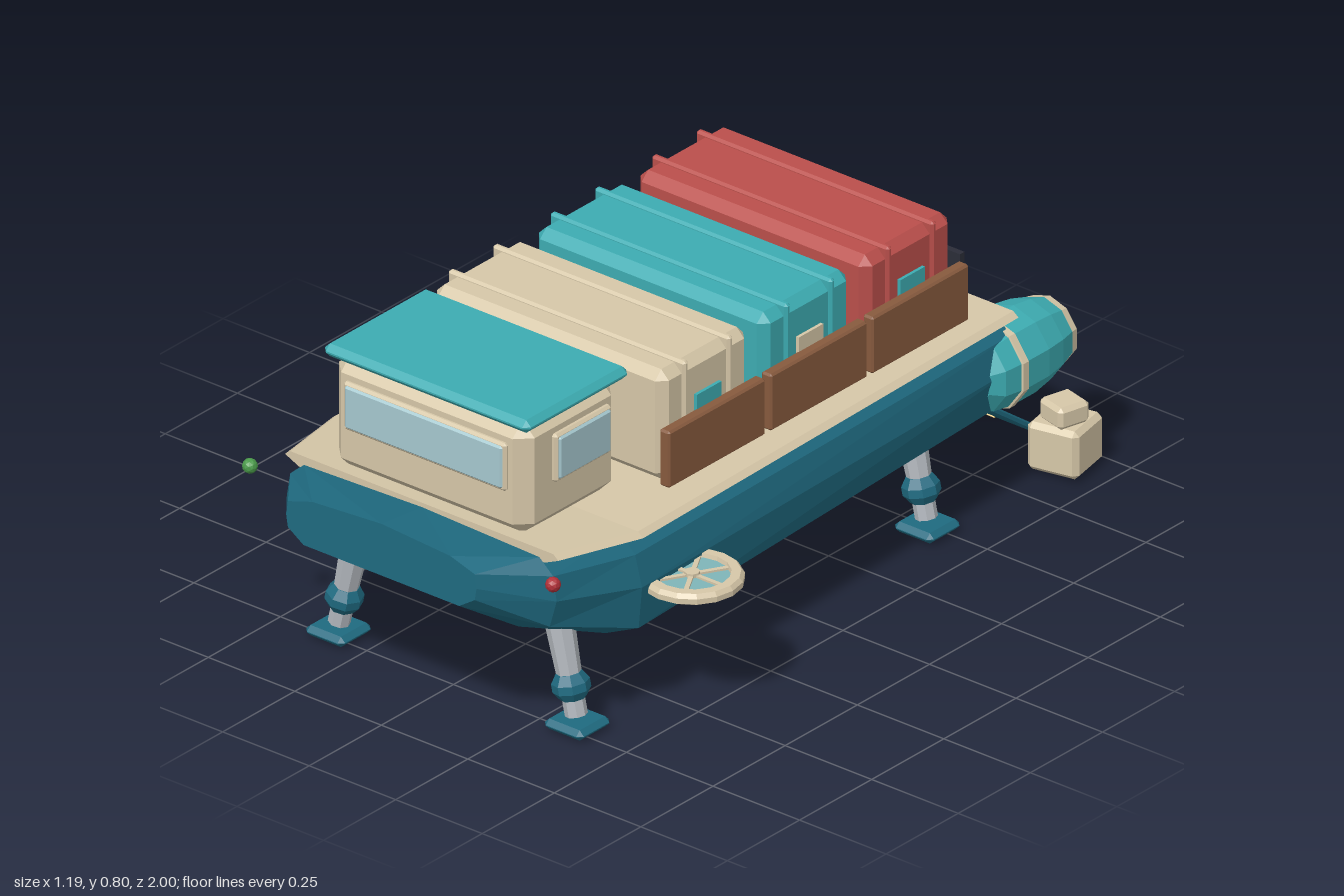
import * as THREE from 'three';
import { ConvexGeometry } from 'three/addons/geometries/ConvexGeometry.js';

const mat = (color) => new THREE.MeshStandardMaterial({ color, flatShading: true });
const M = {
  hull: mat(0x1f6a80), teal: mat(0x3dacb2), cream: mat(0xd6c7a8), red: mat(0xba4f4b),
  brown: mat(0x875a3e), dark: mat(0x2b2d38), glass: mat(0xa6c8cf), metal: mat(0xb4b9bf),
  yellow: mat(0xf0c26a), green: mat(0x4a9a4a), lightRed: mat(0xb03038), rotorGlass: mat(0x7fb5b8),
};

function add(parent, name, geometry, material, x = 0, y = 0, z = 0) {
  const mesh = new THREE.Mesh(geometry, material);
  mesh.name = name;
  mesh.position.set(x, y, z);
  parent.add(mesh);
  return mesh;
}

function group(parent, name) {
  const g = new THREE.Group();
  g.name = name;
  parent.add(g);
  return g;
}

// Box with every edge and corner cut flat
function chamferBox(w, h, d, c) {
  const pts = [];
  for (const sx of [-1, 1]) for (const sy of [-1, 1]) for (const sz of [-1, 1]) {
    for (const k of [0, 1, 2]) {
      pts.push(new THREE.Vector3(
        sx * (w / 2 - (k === 0 ? 0 : c)),
        sy * (h / 2 - (k === 1 ? 0 : c)),
        sz * (d / 2 - (k === 2 ? 0 : c))));
    }
  }
  return new ConvexGeometry(pts);
}

// Skin through mirrored half profiles, listed bow to stern, each running bottom to top
function loft(sections) {
  const loops = sections.map(([z, half]) => {
    const mirrored = half.slice(1, -1).reverse().map(([x, y]) => [-x, y]);
    return [...half, ...mirrored].map(([x, y]) => [x, y, z]);
  });
  const pos = [];
  const tri = (...p) => p.forEach((v) => pos.push(...v));
  const n = loops[0].length;
  for (let s = 0; s < loops.length - 1; s++) {
    for (let i = 0; i < n; i++) {
      const j = (i + 1) % n;
      tri(loops[s][i], loops[s + 1][i], loops[s + 1][j]);
      tri(loops[s][i], loops[s + 1][j], loops[s][j]);
    }
  }
  const front = loops[0], back = loops[loops.length - 1];
  for (let i = 1; i < n - 1; i++) {
    tri(front[0], front[i], front[i + 1]);
    tri(back[0], back[i + 1], back[i]);
  }
  const g = new THREE.BufferGeometry();
  g.setAttribute('position', new THREE.Float32BufferAttribute(pos, 3));
  g.computeVertexNormals();
  return g;
}

function buildHull(root) {
  add(root, 'hull', loft([
    [1.0, [[0, 0.38], [0.225, 0.38], [0.27, 0.41], [0.275, 0.44], [0.27, 0.475], [0.2, 0.497], [0, 0.51]]],
    [0.86, [[0, 0.29], [0.28, 0.29], [0.37, 0.32], [0.39, 0.39], [0.38, 0.45], [0.34, 0.485], [0, 0.495]]],
    [0.63, [[0, 0.2], [0.34, 0.2], [0.435, 0.245], [0.445, 0.35], [0.425, 0.425], [0.38, 0.47], [0, 0.475]]],
    [-0.7, [[0, 0.22], [0.31, 0.22], [0.395, 0.26], [0.415, 0.35], [0.4, 0.425], [0.36, 0.465], [0, 0.47]]],
  ]), M.hull);
  const deckSection = (z, w, y) => [z, [[0, y - 0.03], [w - 0.04, y - 0.03], [w, y - 0.012], [w - 0.015, y], [0, y]]];
  add(root, 'deck', loft([
    deckSection(0.86, 0.395, 0.506), deckSection(0.63, 0.448, 0.487), deckSection(-0.71, 0.415, 0.483),
  ]), M.cream);
  add(root, 'sternDoorway', new THREE.BoxGeometry(0.51, 0.36, 0.016), M.dark, 0, 0.4, -0.707);
  add(root, 'sternStrip', new THREE.BoxGeometry(0.26, 0.018, 0.012), M.cream, -0.07, 0.475, -0.712);
}

function buildCabin(root) {
  const g = group(root, 'cabin');
  add(g, 'cabinBody', chamferBox(0.565, 0.285, 0.335, 0.035), M.cream, 0, 0.635, 0.675);
  add(g, 'roof', chamferBox(0.595, 0.032, 0.36, 0.014), M.teal, 0, 0.785, 0.672);
  add(g, 'windshieldFrame', chamferBox(0.47, 0.12, 0.03, 0.006), M.cream, 0, 0.668, 0.838);
  add(g, 'windshield', chamferBox(0.455, 0.106, 0.03, 0.005), M.glass, 0, 0.668, 0.843);
  for (const s of [-1, 1]) {
    add(g, 'sideWindowFrame', chamferBox(0.03, 0.12, 0.195, 0.006), M.cream, s * 0.28, 0.668, 0.65);
    add(g, 'sideWindow', chamferBox(0.03, 0.106, 0.18, 0.005), M.glass, s * 0.285, 0.668, 0.65);
  }
}

function buildCargo(root) {
  const bays = [[0.275, M.cream, M.teal], [-0.078, M.teal, M.cream], [-0.43, M.red, M.teal]];
  for (const [z, body, label] of bays) {
    const g = group(root, 'cargoBay');
    g.position.z = z;
    add(g, 'container', chamferBox(0.67, 0.275, 0.305, 0.022), body, 0, 0.625, 0);
    for (const s of [-1, 1]) {
      add(g, 'containerRib', chamferBox(0.685, 0.285, 0.018, 0.006), body, 0, 0.628, s * 0.077);
      add(g, 'containerLabel', new THREE.BoxGeometry(0.012, 0.07, 0.085), label, s * 0.337, 0.637, 0);
      add(g, 'cargoSideBoard', chamferBox(0.03, 0.142, 0.335, 0.005), M.brown, s * 0.352, 0.565, 0);
    }
  }
}

function buildEngine(root, s) {
  const g = group(root, s > 0 ? 'leftEngine' : 'rightEngine');
  g.position.set(s * 0.342, 0.34, 0);
  const turned = (name, pts, m) => {
    const geo = new THREE.LatheGeometry(pts.map(([r, z]) => new THREE.Vector2(r, -z)), 10);
    add(g, name, geo.rotateX(-Math.PI / 2), m);
  };
  turned('engineShell', [[0, -0.61], [0.075, -0.61], [0.1, -0.64], [0.109, -0.7], [0.109, -0.78],
    [0.1, -0.84], [0.083, -0.895], [0, -0.895]], M.teal);
  turned('engineBand', [[0.1, -0.685], [0.112, -0.688], [0.112, -0.706], [0.1, -0.709]], M.cream);
  turned('nozzleRim', [[0.07, -0.885], [0.086, -0.887], [0.082, -0.906], [0.068, -0.908], [0.064, -0.89]], M.cream);
  turned('nozzleRing', [[0.074, -0.89], [0.07, -0.903], [0, -0.903]], M.dark);
  turned('nozzleGlow', [[0.052, -0.9], [0.05, -0.91], [0, -0.91]], M.glass);
}

function buildLeg(root, s, z) {
  const g = group(root, 'landingLeg');
  // Struts lean outward from the hull bottom to the foot
  const leg = group(g, 'strut');
  leg.position.set(s * 0.345, 0.03, z);
  leg.rotation.z = s * 0.22;
  add(leg, 'lowerStrut', new THREE.CylinderGeometry(0.026, 0.026, 0.09, 8), M.metal, 0, 0.055, 0);
  add(leg, 'upperStrut', new THREE.CylinderGeometry(0.034, 0.028, 0.14, 8), M.metal, 0, 0.16, 0);
  const knee = [[0, 0.05], [0.03, 0.05], [0.044, 0.07], [0.044, 0.09], [0.03, 0.112], [0, 0.112]];
  add(leg, 'knee', new THREE.LatheGeometry(knee.map(([r, y]) => new THREE.Vector2(r, y)), 8), M.hull);
  add(g, 'foot', chamferBox(0.112, 0.026, 0.112, 0.012), M.hull, s * 0.345, 0.02, z);
}

function buildRotor(root, s) {
  const g = group(root, s > 0 ? 'leftRotor' : 'rightRotor');
  g.position.set(s * 0.477, 0.33, 0.495);
  const rim = [[0, -0.015], [0.1, -0.015], [0.118, -0.005], [0.118, 0.008], [0.11, 0.018], [0.088, 0.018], [0.085, 0.006]];
  add(g, 'rotorRim', new THREE.LatheGeometry(rim.map(([r, y]) => new THREE.Vector2(r, y)), 16), M.cream);
  add(g, 'rotorDisc', new THREE.CylinderGeometry(0.088, 0.088, 0.01, 16), M.rotorGlass, 0, 0.003, 0);
  add(g, 'rotorHub', new THREE.CylinderGeometry(0.018, 0.018, 0.022, 8), M.cream, 0, 0.007, 0);
  for (let i = 0; i < 3; i++) {
    add(g, 'rotorSpoke', new THREE.BoxGeometry(0.18, 0.012, 0.011), M.cream, 0, 0.007, 0).rotation.y = i * Math.PI / 3;
  }
}

function buildRamp(root) {
  const g = group(root, 'ramp');
  g.position.set(0, 0.114, -0.853);
  g.rotation.x = -0.63;
  add(g, 'rampPlate', chamferBox(0.51, 0.016, 0.36, 0.004), M.hull);
  for (const s of [-1, 1]) {
    const arm = add(g, 'rampChevron', new THREE.BoxGeometry(0.3, 0.022, 0.024), M.yellow, 0, 0, s * 0.077);
    arm.rotation.y = -s * 0.52;
  }
}

export function createModel() {
  const root = new THREE.Group();
  root.name = 'cargoHauler';
  buildHull(root);
  buildCabin(root);
  buildCargo(root);
  buildRamp(root);
  for (const s of [-1, 1]) {
    buildEngine(root, s);
    buildRotor(root, s);
    for (const z of [0.735, -0.478]) buildLeg(root, s, z);
    add(root, s > 0 ? 'leftLight' : 'rightLight', new THREE.IcosahedronGeometry(0.018, 1),
      s > 0 ? M.lightRed : M.green, s * 0.438, 0.478, 0.93);
  }
  // Loose crates on the ground beside the ramp
  add(root, 'largeCrate', chamferBox(0.13, 0.12, 0.13, 0.012), M.cream, 0.385, 0.072, -0.907).rotation.y = 0.2;
  add(root, 'smallCrate', chamferBox(0.085, 0.055, 0.085, 0.01), M.cream, 0.395, 0.159, -0.893).rotation.y = -0.25;
  return root;
}
